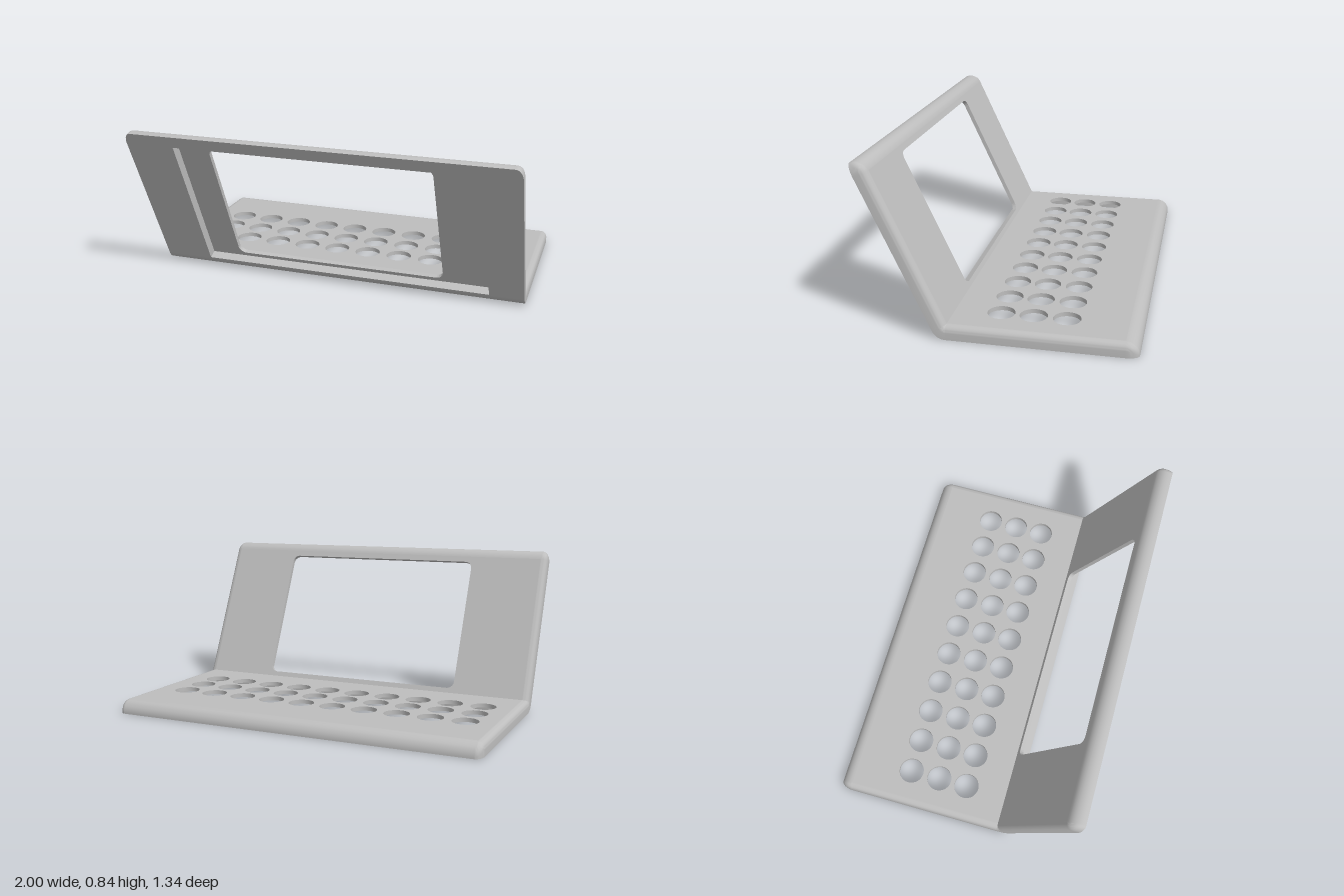
import * as THREE from 'three';
import { toCreasedNormals } from 'three/addons/utils/BufferGeometryUtils.js';

const T = 0.07;          // panel thickness
const SKIN = 0.022;      // sheet left above the pocket
const RS = 0.035;        // rounding of the side edges
const RE = 0.065;        // rounding of the far edge
const LIP = 0.025;
const TILT = THREE.MathUtils.degToRad(25);

const material = new THREE.MeshStandardMaterial({ color: 0xbebebe, side: THREE.DoubleSide });
material.name = 'light grey';

function mesh(name, geometry, crease = 0.6) {
  const m = new THREE.Mesh(toCreasedNormals(geometry, crease), material);
  m.name = name;
  return m;
}

function rect(path, x0, x1, y0, y1, r = 0) {
  path.moveTo(x0 + r, y0).lineTo(x1 - r, y0);
  if (r) path.absarc(x1 - r, y0 + r, r, -Math.PI / 2, 0);
  path.lineTo(x1, y1 - r);
  if (r) path.absarc(x1 - r, y1 - r, r, 0, Math.PI / 2);
  path.lineTo(x0 + r, y1);
  if (r) path.absarc(x0 + r, y1 - r, r, Math.PI / 2, Math.PI);
  path.lineTo(x0, y0 + r);
  if (r) path.absarc(x0 + r, y0 + r, r, Math.PI, Math.PI * 1.5);
  path.closePath();
  return path;
}

function plate(outline, holes, depth, z) {
  outline.holes.push(...holes);
  return new THREE.ExtrudeGeometry(outline, { depth, bevelEnabled: false, curveSegments: 16 }).translate(0, 0, z);
}

// Rounded outer edge running round three sides of a panel
function edgeGeometry(length) {
  // each level: side inset, end inset, side height, end height
  const levels = [[LIP, LIP, 0, 0], [0, 0, 0, 0]];
  for (let i = 0; i <= 8; i++) {
    const t = (i / 8) * Math.PI / 2, c = 1 - Math.cos(t), s = 1 - Math.sin(t);
    levels.push([RS * c, RE * c, T - RS * s, T - RE * s]);
  }
  levels.push([RS, RE, T - SKIN, T - SKIN], [LIP, LIP, T - SKIN, T - SKIN]);

  const positions = [], index = [];
  let n = 0;
  for (const [a, b, hs, he] of levels) {
    const half = [[1 - a, 0, hs]];
    for (let i = 0; i <= 8; i++) {
      const f = (i / 8) * Math.PI / 2, k = Math.sin(f) ** 2;
      half.push([1 - RS + (RS - a) * Math.cos(f), length - RE + (RE - b) * Math.sin(f), hs + (he - hs) * k]);
    }
    const ring = [...half, ...half.map(([u, v, h]) => [-u, v, h]).reverse()];
    n = ring.length;
    positions.push(...ring.flat());
  }
  for (let j = 0; j < levels.length - 1; j++) {
    for (let i = 0; i < n - 1; i++) {
      const p = j * n + i, q = p + n;
      index.push(p, p + 1, q, p + 1, q + 1, q);
    }
  }
  const g = new THREE.BufferGeometry();
  g.setAttribute('position', new THREE.Float32BufferAttribute(positions, 3));
  g.setIndex(index);
  return g;
}

// Panel lying in XY, hinge along y = 0, smooth face towards +z, pocket open towards -z
function panel(name, length, pocket, openings) {
  const group = new THREE.Group();
  group.name = name;
  const sheet = rect(new THREE.Shape(), RS - 1, 1 - RS, 0, length - RE);
  const rim = rect(new THREE.Shape(), LIP - 1, 1 - LIP, 0, length - LIP);
  group.add(
    mesh(name + 'Sheet', plate(sheet, openings, SKIN, T - SKIN)),
    mesh(name + 'Rim', plate(rim, [rect(new THREE.Path(), ...pocket)], T - SKIN, 0)),
    mesh(name + 'RoundedEdge', edgeGeometry(length))
  );
  return group;
}

function place(object, x, y, z, position) {
  object.applyMatrix4(new THREE.Matrix4().makeBasis(x, y, z).setPosition(...position));
  return object;
}

export function createModel() {
  const model = new THREE.Group();
  model.name = 'foldedPanelStand';
  const V = (x, y, z) => new THREE.Vector3(x, y, z);
  const s = Math.sin(TILT), c = Math.cos(TILT);
  const hingeZ = 0.24;

  // Base with three rows of ten round holes
  const holes = [];
  for (const z of [-0.305, -0.143, 0.015]) {
    for (let i = 0; i < 10; i++) {
      holes.push(new THREE.Path().absarc(-0.815 + i * 0.18, hingeZ - z, 0.068, 0, Math.PI * 2));
    }
  }
  const base = panel('base', 0.907, [-0.95, 0.95, 0.02, 0.86], holes);
  model.add(place(base, V(1, 0, 0), V(0, 0, -1), V(0, 1, 0), [0, 0, hingeZ]));

  // Tilted upright with a window and an off-centre pocket on its outer face
  const window = rect(new THREE.Path(), -0.575, 0.575, 0.027, 0.775, 0.04);
  const upright = panel('upright', 0.872, [-0.82, 0.74, 0.005, 0.806], [window]);
  model.add(place(upright, V(-1, 0, 0), V(0, c, s), V(0, s, -c), [0, T - T * s, hingeZ + T * c]));

  // Rounded bend joining both panels
  const side = [];
  for (let i = 0; i <= 8; i++) {
    const t = (i / 8) * Math.PI / 2;
    side.push([Math.max(RS * (1 - Math.sin(t)), 0.0005), 1 - RS * (1 - Math.cos(t))]);
  }
  side.push([T, 1]);
  side.sort((a, b) => a[0] - b[0]);
  const profile = [...side.map(([r, u]) => new THREE.Vector2(r, -u)),
    ...side.reverse().map(([r, u]) => new THREE.Vector2(r, u))];
  const bend = mesh('bend', new THREE.LatheGeometry(profile, 12, 0, Math.PI / 2 - TILT));
  model.add(place(bend, V(0, 0, 1), V(-1, 0, 0), V(0, -1, 0), [0, T, hingeZ]));

  return model;
}
